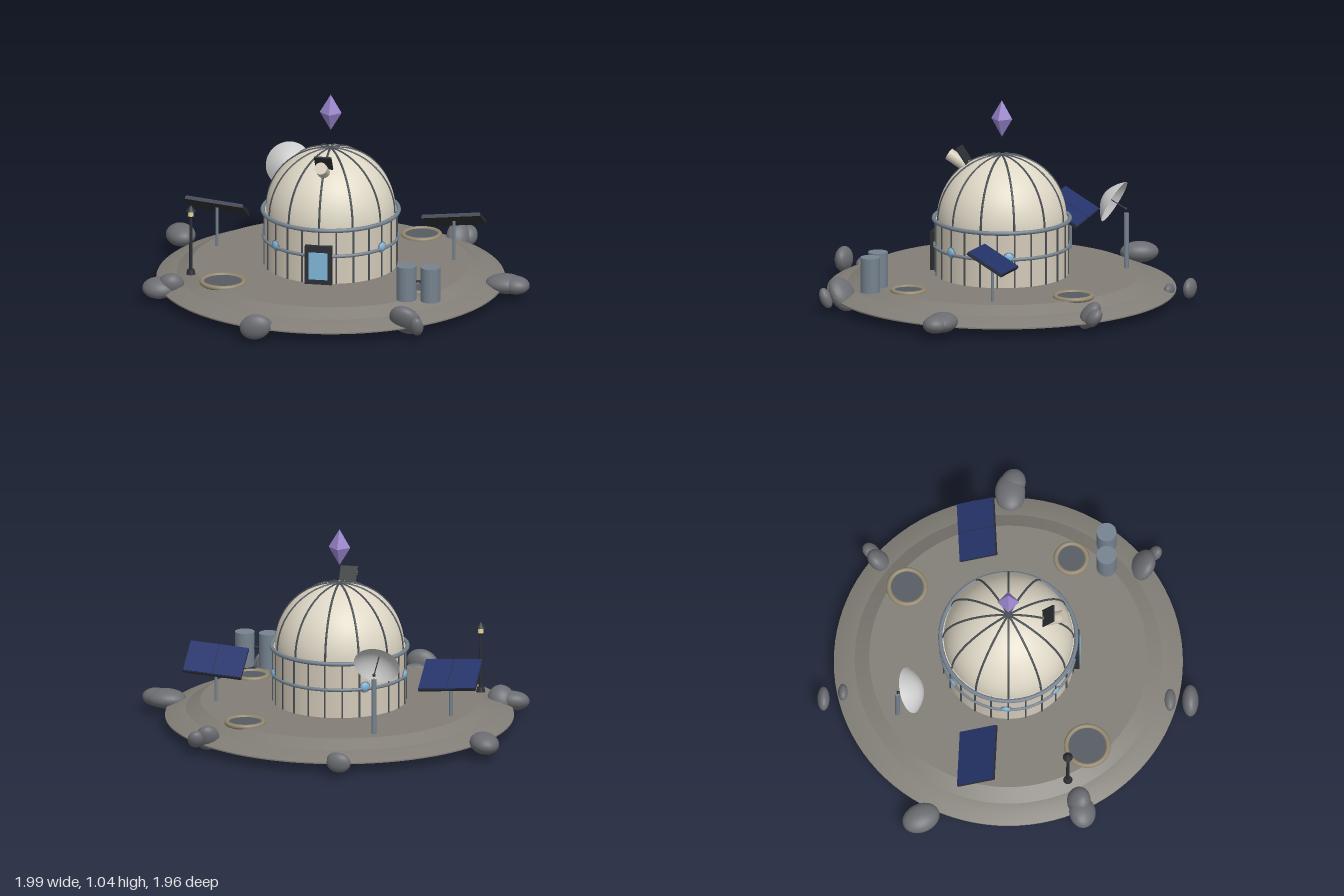
import * as THREE from 'three';
import { toCreasedNormals } from 'three/addons/utils/BufferGeometryUtils.js';

const mat = (color, extra = {}) => new THREE.MeshStandardMaterial({ color, ...extra });
const M = {
  ground: mat(0x827e77), rock: mat(0x6c6d72), wall: mat(0xd2c9b8), dome: mat(0xded7c6),
  rib: mat(0x4b5056), steel: mat(0x75828f), dark: mat(0x2b2f33), glass: mat(0x7fb6d9),
  solar: mat(0x25336a), pit: mat(0x565c63), rim: mat(0x93876f), lamp: mat(0xe8d8a0),
  dish: mat(0xd4d6d8, { side: THREE.DoubleSide }), crystal: mat(0x9a86cc, { flatShading: true }),
};
const CX = -0.05, GROUND = 0.15;

function add(parent, name, geo, material, x = 0, y = 0, z = 0, rx = 0, ry = 0, rz = 0) {
  const m = new THREE.Mesh(geo, material);
  m.name = name;
  m.position.set(x, y, z);
  m.rotation.set(rx, ry, rz);
  parent.add(m);
  return m;
}
function addGroup(parent, name, x = 0, y = 0, z = 0) {
  const g = new THREE.Group();
  g.name = name;
  g.position.set(x, y, z);
  parent.add(g);
  return g;
}
const cyl = (r, h, n = 16, r2 = r) => new THREE.CylinderGeometry(r2, r, h, n);
const box = (w, h, d) => new THREE.BoxGeometry(w, h, d);
const lathe = (pts, n) => new THREE.LatheGeometry(pts.map(p => new THREE.Vector2(...p)), n);

function buildHabitat(root) {
  const g = addGroup(root, 'habitat', CX, 0, 0);
  const R = 0.342, top = 0.44;
  add(g, 'drumWall', cyl(R, top - GROUND, 64), M.wall, 0, (top + GROUND) / 2);
  add(g, 'domeShell', new THREE.SphereGeometry(0.333, 64, 24, 0, Math.PI * 2, 0, Math.PI / 2), M.dome, 0, top);
  // Dome ribs and wall seams
  for (let i = 0; i < 12; i++)
    add(g, 'domeRib', new THREE.TorusGeometry(0.333, 0.006, 6, 24, Math.PI / 2), M.rib, 0, top, 0, 0, i * Math.PI / 6);
  for (let i = 0; i < 24; i++) {
    const a = i * Math.PI / 12;
    add(g, 'wallSeam', box(0.008, top - GROUND, 0.01), M.rib, R * Math.sin(a), (top + GROUND) / 2, R * Math.cos(a), 0, a);
  }
  // Hoops
  add(g, 'upperHoop', new THREE.TorusGeometry(0.35, 0.011, 10, 64), M.steel, 0, top, 0, Math.PI / 2);
  add(g, 'middleHoop', new THREE.TorusGeometry(0.346, 0.009, 10, 64), M.steel, 0, 0.3, 0, Math.PI / 2);
  // Round windows
  for (const deg of [60, 115, -45, -92, -145]) {
    const w = addGroup(g, 'window', 0, 0.31, 0);
    w.rotation.y = deg * Math.PI / 180;
    add(w, 'windowPane', new THREE.SphereGeometry(0.026, 16, 12), M.glass, 0, 0, R).scale.z = 0.6;
    add(w, 'windowFrame', new THREE.TorusGeometry(0.026, 0.004, 6, 20), M.steel, 0, 0, R + 0.002);
  }
  // Door
  add(g, 'doorFrame', box(0.14, 0.205, 0.035), M.dark, 0, 0.255, 0.348);
  add(g, 'doorPane', box(0.1, 0.145, 0.008), M.glass, 0, 0.252, 0.366);
  // Roof scope with its shade plate
  const s = addGroup(g, 'roofScope', 0, 0.728, 0.24);
  s.rotation.x = 1.04;
  add(s, 'scopeTube', cyl(0.032, 0.11, 24), M.rim, 0, 0, 0).material = M.wall;
  add(g, 'scopeShade', box(0.09, 0.1, 0.009), M.dark, 0, 0.757, 0.205, 0.61);
  // Floating crystal
  add(g, 'crystal', new THREE.OctahedronGeometry(1), M.crystal, 0, 0.965, 0).scale.set(0.057, 0.096, 0.057);
}

function buildSolarPanel(root, x, roll) {
  const g = addGroup(root, 'solarPanel', x, 0, -0.16);
  add(g, 'panelPost', cyl(0.008, 0.21, 10), M.steel, 0, 0.255);
  const p = addGroup(g, 'panelHead', 0, 0.365, 0);
  p.rotation.set(-0.52, 0, roll);
  add(p, 'panelBack', box(0.305, 0.014, 0.215), M.dark);
  for (const s of [-1, 1])
    add(p, 'panelCells', box(0.149, 0.006, 0.211), M.solar, s * 0.0765, 0.009);
}

function buildDish(root) {
  const g = addGroup(root, 'dishAntenna', -0.36, 0, 0);
  add(g, 'dishPost', cyl(0.013, 0.29, 12), M.steel, 0, 0.295, -0.57);
  const d = addGroup(g, 'dishHead', 0, 0.495, -0.505);
  d.rotation.x = -2.07;
  const bowl = [];
  for (let i = 0; i <= 10; i++) bowl.push([0.12 * i / 10, -0.066 * (1 - (i / 10) ** 2)]);
  add(d, 'dishBowl', lathe(bowl, 40), M.dish);
  add(d, 'feedRod', cyl(0.003, 0.135, 8), M.dark, 0, 0.002);
  add(d, 'feedTip', new THREE.SphereGeometry(0.009, 12, 8), M.dark, 0, 0.07);
}

function buildLamp(root) {
  const g = addGroup(root, 'lampPost', -0.725, 0, 0.305);
  add(g, 'lampBase', cyl(0.024, 0.025, 16, 0.018), M.dark, 0, 0.162);
  add(g, 'lampPole', cyl(0.01, 0.31, 12, 0.007), M.dark, 0, 0.305);
  add(g, 'lampCollar', cyl(0.012, 0.008, 12, 0.02), M.dark, 0, 0.46);
  add(g, 'lampGlow', cyl(0.015, 0.028, 12), M.lamp, 0, 0.477);
  add(g, 'lampCap', cyl(0.026, 0.03, 16, 0.004), M.dark, 0, 0.505);
}

export function createModel() {
  const root = new THREE.Group();
  root.name = 'outpost';

  // Ground plate with stepped sloping edge
  const plate = lathe([[0, 0.065], [0.897, 0.065], [0.897, 0.072], [0.83, 0.1], [0.79, 0.108], [0.715, 0.15], [0, 0.15]], 96);
  add(root, 'groundPlate', toCreasedNormals(plate, 0.2), M.ground, CX);

  buildHabitat(root);
  buildSolarPanel(root, -0.672, -0.1);
  buildSolarPanel(root, 0.565, 0.1);
  buildDish(root);
  buildLamp(root);

  // Craters
  for (const [x, z, r] of [[-0.54, 0.405, 0.108], [0.33, -0.52, 0.094], [0.485, 0.325, 0.08]]) {
    const c = addGroup(root, 'crater', x, GROUND, z);
    add(c, 'craterRim', new THREE.TorusGeometry(r, 0.013, 10, 40), M.rim, 0, 0.002, 0, Math.PI / 2);
    add(c, 'craterFloor', cyl(r, 0.006, 40), M.pit, 0, 0.003);
  }

  // Storage tanks joined by a pipe
  for (const x of [0.437, 0.563]) add(root, 'storageTank', cyl(0.051, 0.182, 28), M.steel, x, 0.241, 0.505);
  add(root, 'tankPipe', cyl(0.007, 0.1, 10), M.dark, 0.5, 0.25, 0.505, 0, 0, Math.PI / 2);

  // Boulders: x, y, z, radii, then tilts
  const rocks = [
    [-0.26, 0.095, -0.95, 0.063, 0.052, 0.031, 0, 0, 0],
    [-0.222, 0.085, -0.85, 0.045, 0.035, 0.025, 0, 0, 0],
    [0.495, 0.1, -0.665, 0.062, 0.08, 0.045, -0.6, 0.4, 0],
    [0.545, 0.1, -0.705, 0.045, 0.055, 0.035, -0.7, 0.4, 0],
    [-0.915, 0.1, -0.45, 0.075, 0.055, 0.1, 0, 0.45, 0.1],
    [0.865, 0.095, 0.01, 0.105, 0.05, 0.078, 0, 0, 0],
    [0.92, 0.095, 0.025, 0.075, 0.046, 0.065, 0, -0.3, 0],
    [-0.88, 0.09, 0.38, 0.085, 0.05, 0.07, 0.3, 0, 0],
    [-0.82, 0.1, 0.36, 0.07, 0.075, 0.055, 0.6, 0.2, -0.3],
    [-0.265, 0.085, 0.83, 0.06, 0.035, 0.03, 0, 0, 0],
    [-0.275, 0.1, 0.935, 0.082, 0.066, 0.042, 0, 0, 0.25],
    [0.465, 0.1, 0.69, 0.085, 0.095, 0.05, 0.6, -0.2, 0.25],
    [0.535, 0.09, 0.755, 0.035, 0.055, 0.03, 0.4, 0, 0],
  ];
  for (const [x, y, z, a, b, c, rx, ry, rz] of rocks)
    add(root, 'boulder', new THREE.SphereGeometry(1, 24, 16), M.rock, x, y, z, rx, ry, rz).scale.set(a, b, c);

  return root;
}
